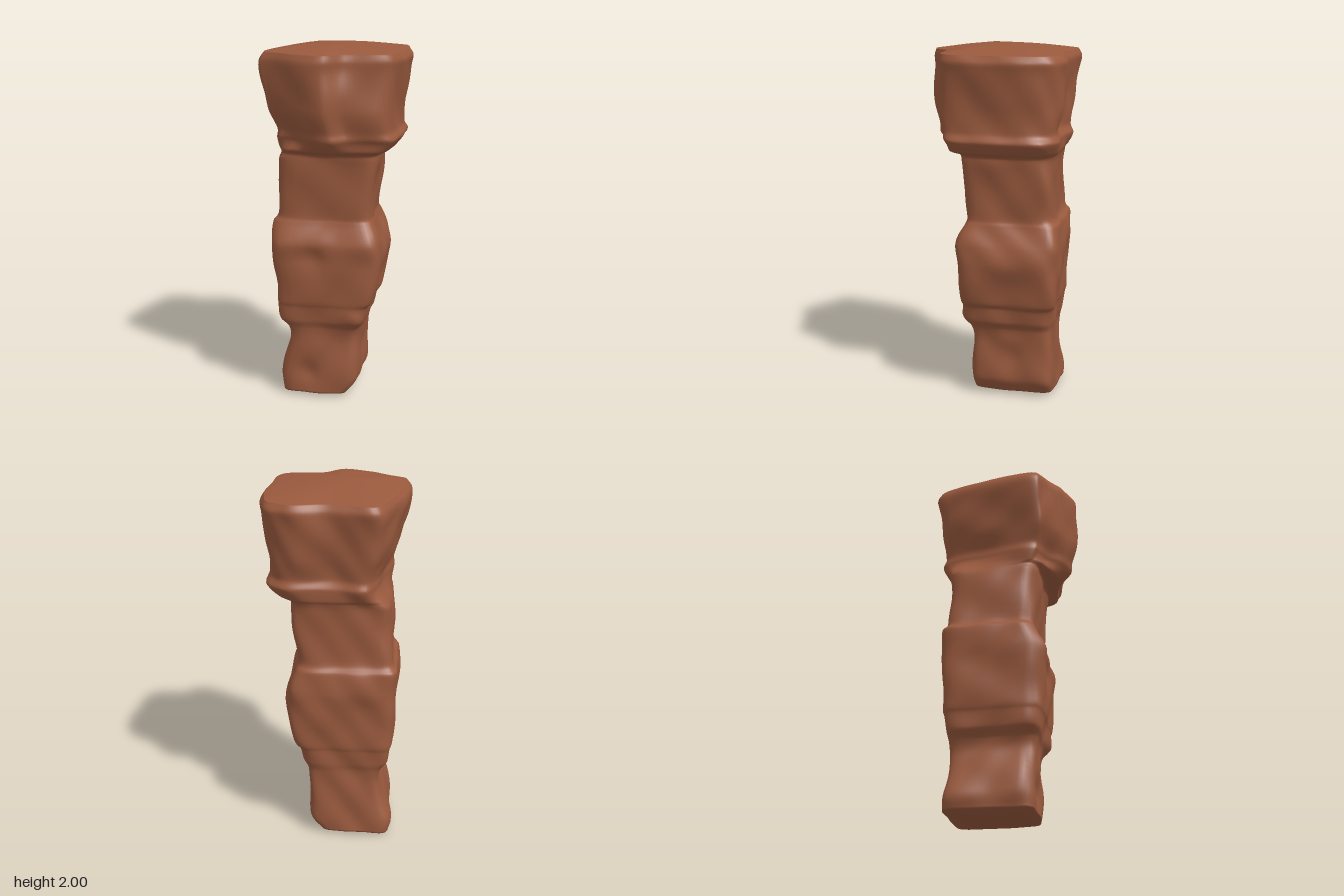
import * as THREE from 'three';

const SIDES = 96, ROWS = 140, CAP = 8;

// Five-cornered outline of the head in a -1..1 box, counter-clockwise from the front left corner
const headOutline = new THREE.CatmullRomCurve3([
  [-0.9, 0.6], [-0.05, 1], [0.26, 0.8], [0.87, 0.67], [0.98, 0.2], [0.98, -0.78],
  [0.62, -1], [0, -0.92], [-0.58, -1], [-0.74, -0.74], [-0.92, 0], [-1, 0.52],
].map(([x, z]) => new THREE.Vector3(x, 0, z)), true);

// Silhouette of the pillar: y, xMin, xMax, zMin, zMax
const LEVELS = [
  [0.02, -0.30, 0.08, -0.31, 0.16], [0.11, -0.31, 0.14, -0.31, 0.16],
  [0.33, -0.25, 0.14, -0.30, 0.16], [0.41, -0.26, 0.15, -0.30, 0.17],
  [0.46, -0.30, 0.18, -0.31, 0.19], [0.54, -0.31, 0.20, -0.32, 0.20],
  [0.59, -0.32, 0.23, -0.33, 0.21], [0.80, -0.33, 0.27, -0.34, 0.22],
  [0.91, -0.34, 0.26, -0.35, 0.23], [1.02, -0.34, 0.22, -0.34, 0.18],
  [1.08, -0.31, 0.21, -0.31, 0.17], [1.35, -0.30, 0.24, -0.31, 0.19],
  [1.41, -0.29, 0.25, -0.32, 0.21], [1.44, -0.29, 0.31, -0.34, 0.29],
  [1.50, -0.30, 0.36, -0.36, 0.35], [1.55, -0.30, 0.34, -0.34, 0.36],
  [1.66, -0.34, 0.34, -0.36, 0.39], [1.86, -0.385, 0.37, -0.385, 0.385],
  [1.92, -0.385, 0.38, -0.39, 0.385], [1.96, -0.36, 0.36, -0.37, 0.37],
];
const boundsCurve = (lo, hi) => new THREE.CatmullRomCurve3(
  LEVELS.map((l) => new THREE.Vector3(l[lo], l[0], l[hi])), false, 'catmullrom', 0.4);
const xBounds = boundsCurve(1, 2), zBounds = boundsCurve(3, 4);

// Chips and hollows: x, y, z, radius, depth (negative depth swells)
const DENTS = [
  [-0.12, 0.85, 0.22, 0.10, 0.025], [-0.15, 0.15, 0.16, 0.08, 0.02],
  [0.14, 0.25, -0.10, 0.10, 0.025], [0.26, 0.70, -0.10, 0.12, 0.02],
  [-0.22, 1.50, 0.25, 0.14, 0.03], [0.12, 0.48, 0.18, 0.07, -0.02],
];

// Gentle layered unevenness of the stone
const rough = (x, y, z) =>
  0.5 * Math.sin(9 * x + 7 * y + 1.3) * Math.cos(8 * z - 5 * y) +
  0.3 * Math.sin(19 * y + 11 * z) * Math.cos(17 * x + 2) +
  0.2 * Math.sin(31 * x - 23 * y + 27 * z);

// Rounded square for the shaft, in the same directions as the head outline
const squared = (v) => v.clone().divideScalar((Math.abs(v.x) ** 8 + Math.abs(v.z) ** 8) ** (1 / 8));

function createStone() {
  const outline = Array.from({ length: SIDES }, (_, j) => {
    const head = headOutline.getPoint(j / SIDES);
    return { head, shaft: squared(head) };
  });
  const positions = [], indices = [];
  const a = new THREE.Vector3(), p = new THREE.Vector3(), d = new THREE.Vector3();
  for (let i = -CAP; i <= ROWS + CAP; i++) {
    // Past either end the rings close towards the middle as a shallow cap
    const t = THREE.MathUtils.clamp(i / ROWS, 0, 1);
    const over = Math.max(-i, i - ROWS, 0) / CAP;
    const bx = xBounds.getPoint(t), bz = zBounds.getPoint(t);
    const y = bx.y + (i < 0 ? -0.02 : 0.038) * Math.sin(over * Math.PI / 2);
    const cx = (bx.x + bx.z) / 2, hx = (bx.z - bx.x) / 2 * (1 - over);
    const cz = (bz.x + bz.z) / 2, hz = (bz.z - bz.x) / 2 * (1 - over);
    const headAmount = THREE.MathUtils.smoothstep(y, 1.38, 1.5);
    outline.forEach(({ head, shaft }, j) => {
      a.lerpVectors(shaft, head, headAmount);
      d.set(a.x * hx, 0, a.z * hz);
      p.set(cx, y, cz).add(d);
      let push = 0.016 * rough(p.x, p.y, p.z);
      for (const [x, dy, z, r, depth] of DENTS) {
        const q = ((p.x - x) ** 2 + (p.y - dy) ** 2 + (p.z - z) ** 2) / (r * r);
        push -= depth * Math.exp(-2 * q);
      }
      p.addScaledVector(d.normalize(), push * (1 - over));
      positions.push(p.x, p.y, p.z);
      if (i < ROWS + CAP) {
        const k = (j + 1) % SIDES, low = (i + CAP) * SIDES, high = low + SIDES;
        indices.push(low + j, low + k, high + j, low + k, high + k, high + j);
      }
    });
  }
  const geometry = new THREE.BufferGeometry();
  geometry.setAttribute('position', new THREE.Float32BufferAttribute(positions, 3));
  geometry.setIndex(indices);
  geometry.computeVertexNormals();
  return geometry;
}

export function createModel() {
  const group = new THREE.Group();
  group.name = 'rockPillar';
  const pillar = new THREE.Mesh(createStone(), new THREE.MeshStandardMaterial({ color: 0x9a5a3e }));
  pillar.name = 'weatheredStone';
  group.add(pillar);
  return group;
}
